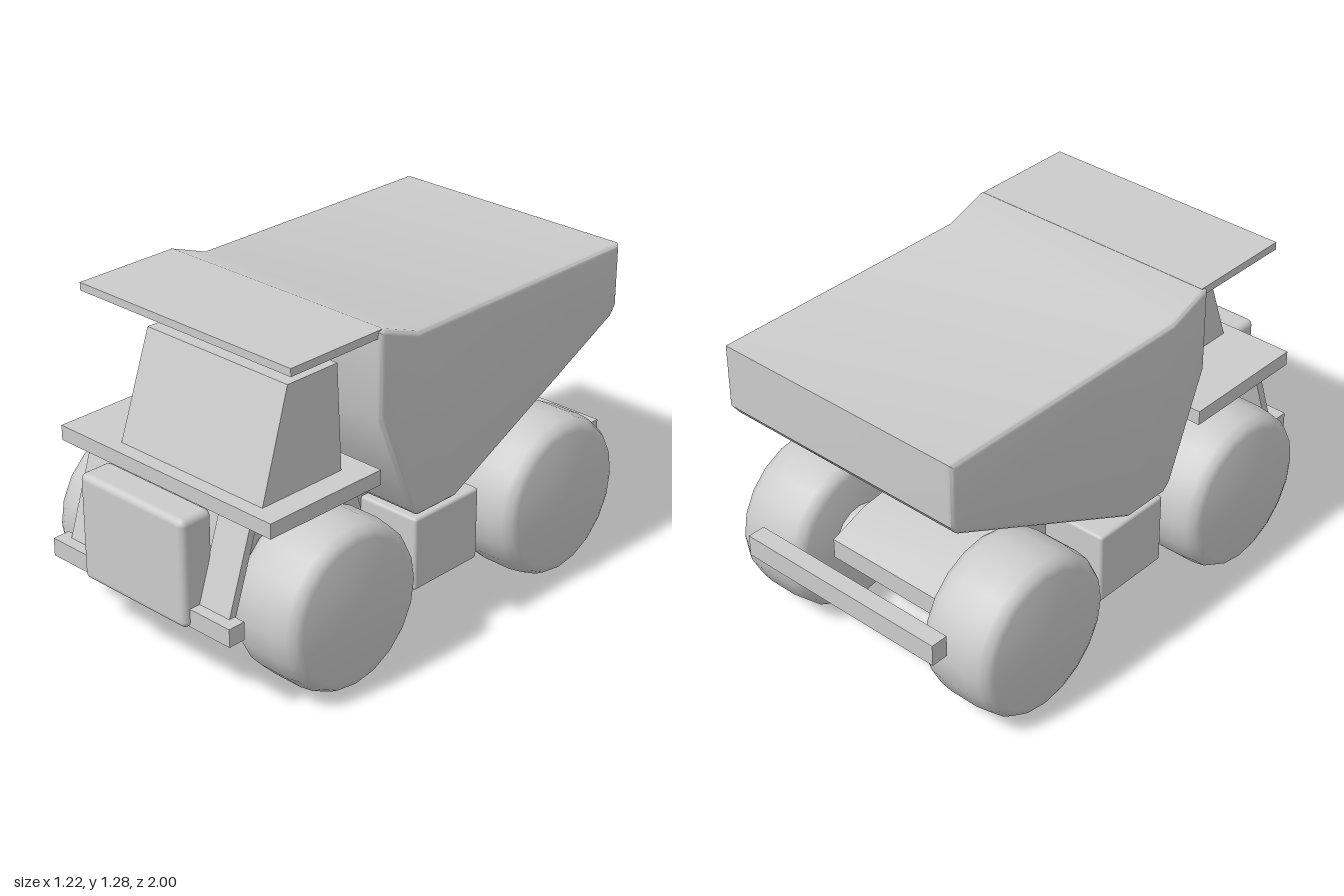
import * as THREE from 'three';
import { toCreasedNormals } from 'three/addons/utils/BufferGeometryUtils.js';
import { RoundedBoxGeometry } from 'three/addons/geometries/RoundedBoxGeometry.js';

export function createModel() {
  const model = new THREE.Group();
  const grey = new THREE.MeshStandardMaterial({ color: 0xcccccc });

  const add = (name, geometry, x = 0, y = 0, z = 0) => {
    const mesh = new THREE.Mesh(geometry, grey);
    mesh.name = name;
    mesh.position.set(x, y, z);
    model.add(mesh);
    return mesh;
  };

  // Box given by its extents
  const box = (name, [x0, x1], [y0, y1], [z0, z1]) =>
    add(name, new THREE.BoxGeometry(x1 - x0, y1 - y0, z1 - z0),
      (x0 + x1) / 2, (y0 + y1) / 2, (z0 + z1) / 2);

  // Side outline of [z, y] points, extruded across x about the centre
  const sideExtrude = (points, width, bevel = 0) => {
    const shape = new THREE.Shape(points.map(([z, y]) => new THREE.Vector2(z, y)));
    const geometry = new THREE.ExtrudeGeometry(shape, {
      depth: width - 2 * bevel,
      bevelEnabled: bevel > 0, bevelSize: bevel, bevelThickness: bevel,
      bevelOffset: -bevel, bevelSegments: 3,
    });
    geometry.translate(0, 0, bevel - width / 2).rotateY(-Math.PI / 2);
    return toCreasedNormals(geometry, 0.6);
  };

  // Covered dump body
  add('dumpBody', sideExtrude([
    [0.33, 1.275], [0.33, 0.95], [0.16, 0.54], [0.125, 0.51], [-0.07, 0.51],
    [-0.94, 0.935], [-0.97, 0.975], [-0.97, 1.22], [0.14, 1.22], [0.305, 1.28],
  ], 1.06, 0.018));
  box('canopy', [-0.515, 0.515], [1.25, 1.28], [0.31, 0.74]);

  // Cab with sloping windscreen, narrowing slightly towards the roof
  const cab = sideExtrude([[0.8, 0.74], [0.66, 1.165], [0.425, 1.165], [0.415, 0.74]], 0.7);
  const p = cab.attributes.position;
  for (let i = 0; i < p.count; i++) {
    p.setX(i, p.getX(i) * (1 - 0.07 * (p.getY(i) - 0.74)));
  }
  cab.computeVertexNormals();
  add('cab', cab, 0.08);

  // Deck and engine housing
  box('deck', [-0.525, 0.525], [0.705, 0.763], [0.32, 0.85]);
  add('engineHousing', sideExtrude([
    [0.86, 0.31], [0.86, 0.55], [0.82, 0.71], [0.25, 0.71], [0.17, 0.45], [0.16, 0.33], [0.3, 0.215], [0.6, 0.215],
  ], 0.6));
  add('radiator', new RoundedBoxGeometry(0.52, 0.415, 0.14, 3, 0.025), 0, 0.5175, 0.93);

  // Chassis: full width between the wheels, lower and narrower along the keel
  add('chassis', sideExtrude([
    [0.25, 0.51], [0.25, 0.3], [-0.1, 0.26], [-0.32, 0.25], [-0.62, 0.25],
    [-0.78, 0.34], [-0.78, 0.42], [-0.62, 0.48], [-0.38, 0.51],
  ], 0.5));
  add('keel', sideExtrude([
    [0.35, 0.31], [0.2, 0.215], [-0.15, 0.215], [-0.3, 0.25], [-0.3, 0.31],
  ], 0.32));
  const axle = new THREE.CylinderGeometry(0.12, 0.12, 0.7, 16).rotateZ(Math.PI / 2);
  for (const z of [0.52, -0.6]) add('axle', axle, 0, 0.325, z);

  // Bumpers
  box('frontBumper', [-0.45, 0.45], [0.315, 0.385], [0.905, 0.975]);
  box('rearBumper', [-0.45, 0.45], [0.375, 0.46], [-1, -0.93]);

  // Wheels with rounded shoulders
  const profile = [
    [0, -0.155], [0.27, -0.155], [0.295, -0.145], [0.312, -0.115], [0.32, -0.06],
    [0.32, 0.06], [0.312, 0.115], [0.295, 0.145], [0.27, 0.155], [0, 0.155],
  ].map(([r, w]) => new THREE.Vector2(r, w));
  const wheel = toCreasedNormals(new THREE.LatheGeometry(profile, 20).rotateZ(Math.PI / 2), 0.75);

  // Parts mirrored on both sides
  for (const side of [1, -1]) {
    add('frontWheel', wheel, side * 0.455, 0.324, 0.52);
    add('rearWheel', wheel, side * 0.455, 0.324, -0.6);
    add('sideTank', new RoundedBoxGeometry(0.27, 0.29, 0.34, 2, 0.012), side * 0.385, 0.345, -0.04);
    const stair = add('stair', new THREE.BoxGeometry(0.15, 0.42, 0.03), side * 0.33, 0.52, 0.87);
    stair.rotation.x = -0.32;
  }

  return model;
}
